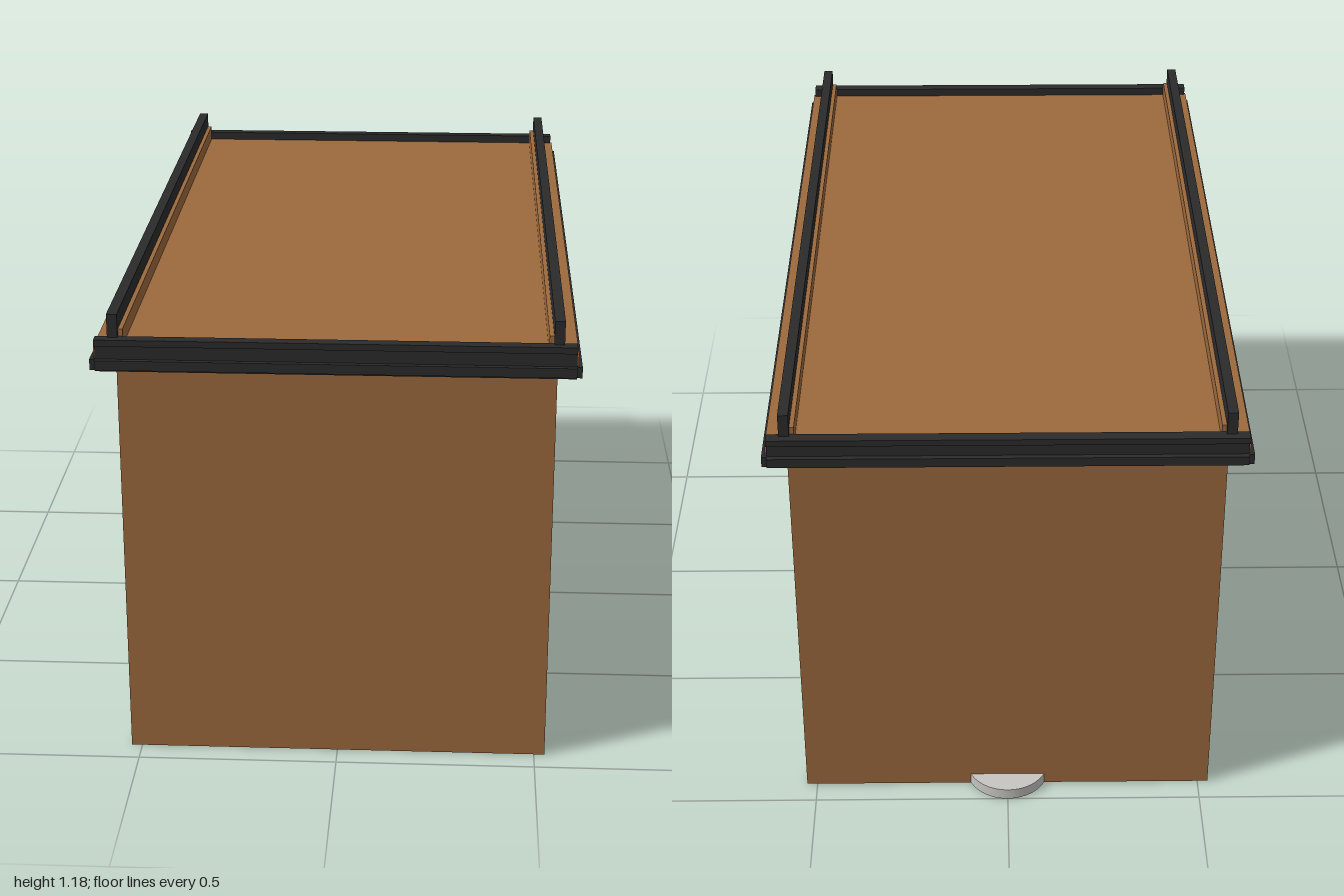
import * as THREE from 'three';

const mat = (name, color) => new THREE.MeshStandardMaterial({ name, color });

export function createModel() {
  const root = new THREE.Group();
  const wood = mat('wood', 0x9c693d);
  const black = mat('blackMetal', 0x2b2b2b);
  const cream = mat('lampCream', 0xcfcdc0);
  const grey = mat('standGrey', 0xc6c5c1);

  // Box from its lower and upper limits on each axis
  function box(name, m, [x0, x1], [y0, y1], [z0, z1], parent = root) {
    const mesh = new THREE.Mesh(new THREE.BoxGeometry(x1 - x0, y1 - y0, z1 - z0), m);
    mesh.position.set((x0 + x1) / 2, (y0 + y1) / 2, (z0 + z1) / 2);
    mesh.name = name;
    parent.add(mesh);
    return mesh;
  }
  const span = (s, a, b) => (s > 0 ? [a, b] : [-b, -a]);

  // End walls and roof slab
  for (const s of [1, -1]) {
    box(s > 0 ? 'frontWall' : 'backWall', wood, [-0.527, 0.527], [0, 1.045], span(s, 0.902, 0.937));
  }
  box('roofPanel', wood, [-0.574, 0.574], [1.045, 1.1], [-0.98, 0.98]);

  // Channel-shaped beams across both ends of the roof
  const profile = new THREE.Shape([
    [0.97, 1.04], [0.99, 1.04], [0.99, 1.046], [1, 1.046], [1, 1.07], [0.987, 1.07],
    [0.987, 1.106], [1, 1.106], [1, 1.122], [0.97, 1.122],
  ].map(([z, y]) => new THREE.Vector2(z, y)));
  for (const s of [1, -1]) {
    const geo = new THREE.ExtrudeGeometry(profile, { depth: 1.14, bevelEnabled: false });
    geo.translate(0, 0, -0.57).rotateY(-s * Math.PI / 2);
    // the rotation carries the profile's x onto +z or -z
    const beam = new THREE.Mesh(geo, black);
    beam.name = s > 0 ? 'frontBeam' : 'backBeam';
    root.add(beam);
  }

  // Long sides: upright rail, inner board and lower edge trim
  for (const s of [1, -1]) {
    const side = new THREE.Group();
    side.name = s > 0 ? 'leftRoofEdge' : 'rightRoofEdge';
    root.add(side);
    box('upperRail', black, span(s, 0.515, 0.54), [1.104, 1.18], [-0.98, 0.98], side);
    box('innerBoard', wood, span(s, 0.504, 0.515), [1.09, 1.14], [-0.97, 0.97], side);
    box('edgeTrim', black, span(s, 0.57, 0.583), [1.043, 1.07], [-0.99, 0.99], side);
    box('edgeSoffit', black, span(s, 0.535, 0.575), [1.04, 1.047], [-0.97, 0.97], side);
    box('ceilingTrack', black, span(s, 0.226, 0.244), [1.033, 1.046], [-0.9, 0.9], side);
  }

  // Ceiling lamp
  const lamp = new THREE.Group();
  lamp.name = 'ceilingLamp';
  root.add(lamp);
  box('lampBody', cream, [-0.05, 0.05], [0.966, 1.028], [-0.392, 0.392], lamp);
  for (const x of [-0.025, 0.025]) {
    box('lampTube', grey, [x - 0.013, x + 0.013], [0.956, 0.967], [-0.35, 0.35], lamp);
  }

  // Bench box by the front wall
  box('bench', wood, [-0.28, 0.28], [0.07, 0.293], [0.6, 0.775]);

  // Screen and its stand by the back wall
  const screen = new THREE.Group();
  screen.name = 'screen';
  root.add(screen);
  box('screenBody', black, [-0.19, 0.19], [0.485, 0.7], [-0.88, -0.852], screen);
  box('screenPanel', black, [-0.2, 0.2], [0.477, 0.71], [-0.852, -0.845], screen);
  const post = new THREE.Mesh(new THREE.CylinderGeometry(0.01, 0.01, 0.395, 16), grey);
  post.position.set(0, 0.2225, -0.892);
  post.name = 'standPost';
  const base = new THREE.Mesh(new THREE.CylinderGeometry(0.105, 0.105, 0.03, 40), grey);
  base.position.set(0, 0.015, -0.895);
  base.name = 'standBase';
  root.add(post, base);

  // Wall sockets, each with two pale inserts facing inwards
  function socket(name, x, y, z, s) {
    const g = new THREE.Group();
    g.name = name;
    g.position.set(x, y, z);
    root.add(g);
    box('socketPlate', black, [-0.034, 0.034], [-0.018, 0.018], [-0.006, 0.006], g);
    for (const dx of [-0.014, 0.014]) {
      const dot = new THREE.Mesh(new THREE.CylinderGeometry(0.007, 0.007, 0.002, 12), grey);
      dot.rotation.x = Math.PI / 2;
      dot.position.set(dx, 0, s * 0.0065);
      dot.name = 'socketInsert';
      g.add(dot);
    }
  }
  socket('frontSocket', -0.43, 0.185, 0.88, 1);
  socket('backSocket', -0.325, 0.185, -0.893, 1);

  return root;
}
